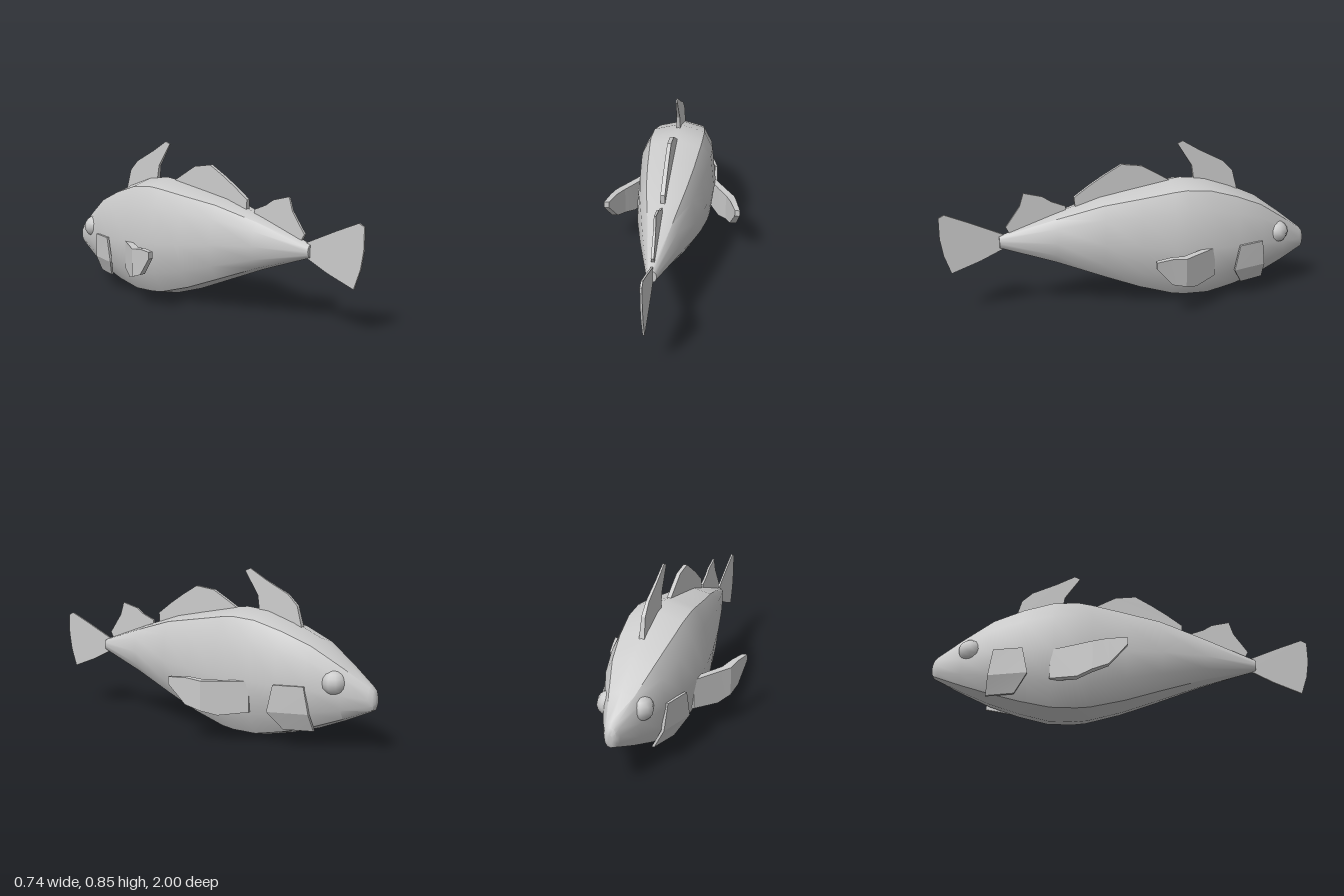
import * as THREE from 'three';
import { toCreasedNormals } from 'three/addons/utils/BufferGeometryUtils.js';

const material = new THREE.MeshStandardMaterial({ color: 0xcccccc });

function addMesh(parent, name, geometry) {
  const mesh = new THREE.Mesh(geometry, material);
  mesh.name = name;
  parent.add(mesh);
  return mesh;
}

// Skin a list of closed rings (counter-clockwise about the travel direction), with end caps
function loft(rings, crease) {
  const n = rings[0].length;
  const index = [];
  for (let i = 0; i < rings.length - 1; i++) {
    for (let j = 0; j < n; j++) {
      const a = i * n + j, b = i * n + (j + 1) % n;
      index.push(a, b, b + n, a, b + n, a + n);
    }
  }
  const end = (rings.length - 1) * n;
  for (let j = 1; j < n - 1; j++) {
    index.push(0, j + 1, j, end, end + j, end + j + 1);
  }
  const geometry = new THREE.BufferGeometry();
  geometry.setAttribute('position', new THREE.Float32BufferAttribute(rings.flat(2), 3));
  geometry.setIndex(index);
  return toCreasedNormals(geometry, crease);
}

// Mirror rings to the other side while keeping the winding
const mirrorRings = (rings) => rings.map((r) => r.map(([x, y, z]) => [-x, y, z]).reverse());

// Flat fin in the z-y plane; taper thins it towards its top edge
function finGeometry(outline, half, tipHalf = half) {
  const shape = new THREE.Shape(outline.map(([z, y]) => new THREE.Vector2(z, y)));
  const geometry = new THREE.ExtrudeGeometry(shape, { depth: 2 * half, bevelEnabled: false });
  geometry.translate(0, 0, -half);
  geometry.rotateY(-Math.PI / 2);
  const ys = outline.map((p) => p[1]);
  const low = Math.min(...ys), high = Math.max(...ys);
  const pos = geometry.attributes.position;
  for (let i = 0; i < pos.count; i++) {
    const t = (pos.getY(i) - low) / (high - low);
    pos.setX(i, pos.getX(i) * THREE.MathUtils.lerp(1, tipHalf / half, t));
  }
  geometry.computeVertexNormals();
  return geometry;
}

function bodyGeometry() {
  // Half section: [share of half width, share of height], top to bottom
  const section = [[0, 1], [0.67, 0.94], [0.9, 0.79], [1, 0.48], [0.9, 0.22], [0.59, 0.045], [0, 0]];
  // Stations from tail to nose: z, top, bottom, half width, roundness
  const stations = [
    [0.7, 0.41, 0.345, 0.025, 1],
    [0.41, 0.51, 0.245, 0.1, 0.35],
    [0.17, 0.585, 0.15, 0.153, 0],
    [-0.02, 0.62, 0.075, 0.184, 0],
    [-0.2, 0.652, 0.02, 0.206, 0],
    [-0.27, 0.66, 0.01, 0.212, 0],
    [-0.4, 0.648, 0.008, 0.21, 0],
    [-0.55, 0.598, 0.04, 0.19, 0],
    [-0.7, 0.53, 0.085, 0.156, 0],
    [-0.85, 0.423, 0.145, 0.095, 0.1],
    [-0.97, 0.33, 0.2, 0.04, 0.3],
    [-0.99, 0.31, 0.21, 0.03, 0.4],
    [-1, 0.28, 0.235, 0.015, 0.5],
  ];
  const rings = stations.map(([z, top, bottom, w, round]) => {
    const half = section.map(([u, v], i) => {
      const a = (i / 6) * Math.PI;
      const x = THREE.MathUtils.lerp(u, Math.sin(a), round) * w;
      const s = THREE.MathUtils.lerp(v, 0.5 + 0.5 * Math.cos(a), round);
      return [x, bottom + (top - bottom) * s, z];
    });
    const other = half.slice(1, -1).reverse().map(([x, y, zz]) => [-x, y, zz]);
    return [...half, ...other];
  });
  return loft(rings, THREE.MathUtils.degToRad(38));
}

export function createModel() {
  const model = new THREE.Group();
  model.name = 'fish';
  addMesh(model, 'body', bodyGeometry());

  // Fins along the back, and the tail
  addMesh(model, 'frontDorsalFin', finGeometry([
    [-0.6, 0.55], [-0.35, 0.62], [-0.335, 0.72], [-0.255, 0.842], [-0.285, 0.855],
    [-0.38, 0.8], [-0.51, 0.735], [-0.565, 0.68]], 0.014, 0.004));
  addMesh(model, 'middleDorsalFin', finGeometry([
    [-0.26, 0.62], [0.3, 0.52], [0.305, 0.59], [0.22, 0.65], [0.14, 0.7], [0.05, 0.75],
    [-0.06, 0.735], [-0.14, 0.69]], 0.012, 0.01));
  addMesh(model, 'rearDorsalFin', finGeometry([
    [0.35, 0.5], [0.64, 0.41], [0.665, 0.455], [0.59, 0.56], [0.568, 0.63],
    [0.47, 0.605], [0.425, 0.575], [0.35, 0.545]], 0.008, 0.005));
  addMesh(model, 'tailFin', finGeometry([
    [0.66, 0.35], [0.8, 0.285], [0.95, 0.23], [0.985, 0.33], [1, 0.42], [1, 0.53],
    [0.97, 0.545], [0.85, 0.495], [0.66, 0.41]], 0.005));

  // Side fin stations: z, outer x, inner x, top, bottom
  const sideFin = [
    [-0.41, 0.2, 0.165, 0.315, 0.16],
    [-0.28, 0.285, 0.24, 0.315, 0.143],
    [-0.21, 0.332, 0.285, 0.315, 0.165],
    [-0.13, 0.35, 0.315, 0.327, 0.19],
    [-0.04, 0.372, 0.345, 0.325, 0.29],
  ].map(([z, out, inn, top, low]) =>
    [[out, top, z], [inn, top, z], [inn, low, z], [out, low, z]]);

  // Gill plate rows, bottom to top: y, front z, front x, rear z, rear x
  const gillPlate = [
    [0.09, -0.72, 0.105, -0.58, 0.155],
    [0.18, -0.715, 0.152, -0.52, 0.215],
    [0.315, -0.695, 0.166, -0.55, 0.21],
  ].map(([y, zf, xf, zr, xr]) =>
    [[xf, y, zf], [xf - 0.014, y, zf], [xr - 0.014, y, zr], [xr, y, zr]]);

  for (const side of [1, -1]) {
    const label = side > 0 ? 'left' : 'right';
    const place = (rings) => (side > 0 ? rings : mirrorRings(rings));
    addMesh(model, label + 'SideFin', loft(place(sideFin), 0.2));
    addMesh(model, label + 'GillPlate', loft(place(gillPlate), 0.2));
    const eye = addMesh(model, label + 'Eye', new THREE.SphereGeometry(0.062, 10, 8));
    eye.position.set(side * 0.076, 0.335, -0.81);
  }
  return model;
}
